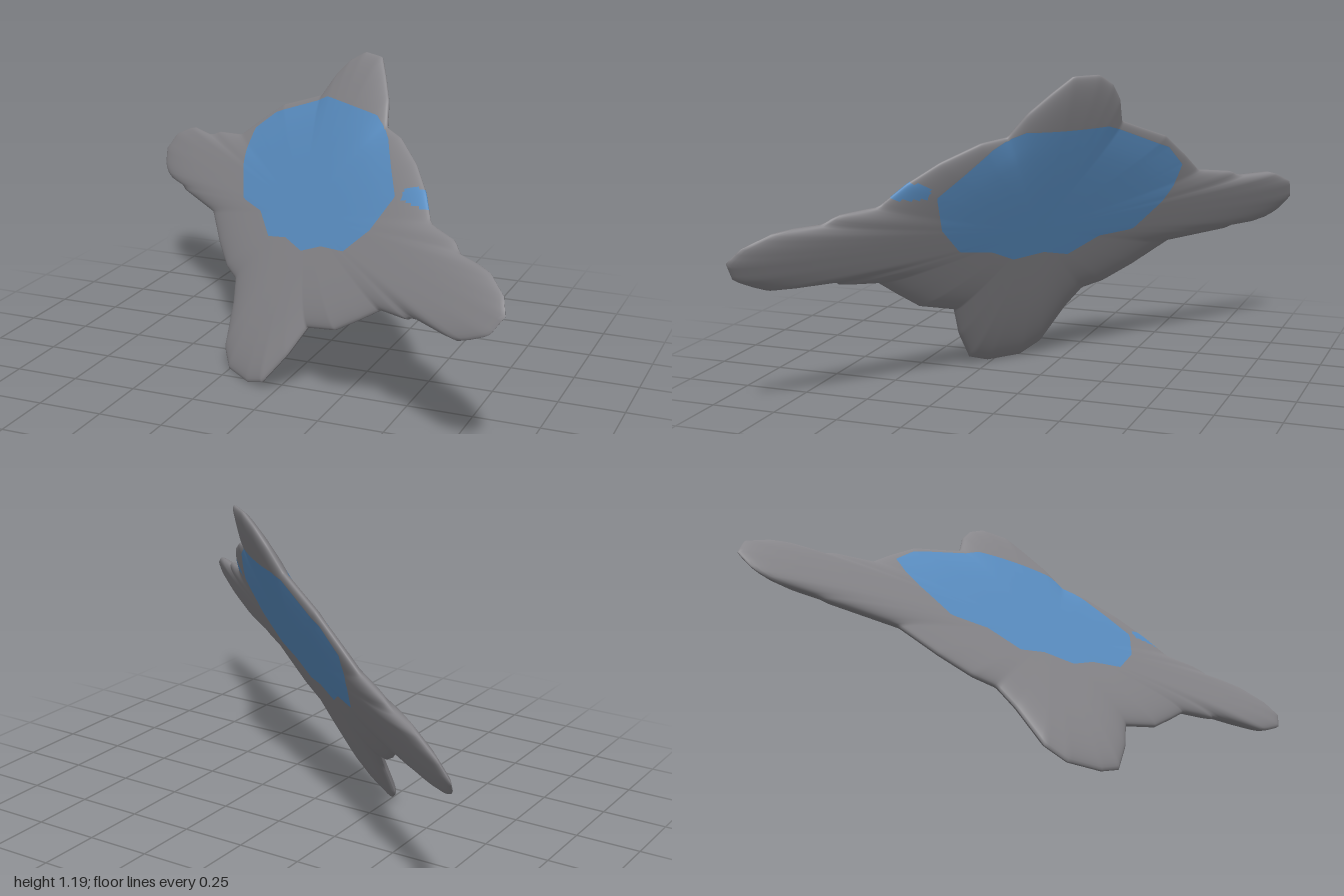
import * as THREE from 'three';

// Outlines as x, y pairs, counter-clockwise; depth follows from the tilted plane
const OUTLINE = [
  1, .6, .98, .65, .9, .7, .77, .705, .74, .735, .62, .75, .57, .83, .5, .9, .4, .96, .32, .975,
  .3, 1.06, .26, 1.13, .22, 1.19, .13, 1.19, .06, 1.15, 0, 1.09, -.06, 1, -.15, .965, -.27, .92,
  -.4, .83, -.5, .755, -.65, .73, -.7, .705, -.84, .705, -.95, .65, -1, .58, -.98, .52, -.93, .485,
  -.83, .485, -.8, .47, -.57, .45, -.48, .36, -.4, .3, -.33, .28, -.31, .2, -.3, .05, -.25, 0,
  -.13, 0, -.05, .03, .05, .15, .13, .27, .27, .31, .38, .38, .47, .44, .6, .455, .62, .47,
  .82, .47, .88, .495, .95, .53,
];
const PANEL = [
  .46, .78, .36, .94, .28, 1, 0, 1, -.1, .96, -.3, .88, -.4, .8, -.41, .72, -.4, .66, -.35, .55,
  -.23, .54, -.15, .475, -.05, .5, .05, .485, .15, .53, .27, .55, .38, .65,
];
const CX = 0.03, CY = 0.6;            // hub from which the rings spread
const SLOPE_X = 0.775, SLOPE_Y = -0.63; // tilt of the slab
const HALF_THICKNESS = 0.038;
const SIDES = 360, INNER = 8, OUTER = 16;

// Distance from the hub to an outline in a given direction
function reach(points, angle) {
  const dx = Math.cos(angle), dy = Math.sin(angle);
  let best = 0;
  for (let i = 0; i < points.length; i += 2) {
    const j = (i + 2) % points.length;
    const ax = points[i] - CX, ay = points[i + 1] - CY;
    const ex = points[j] - CX - ax, ey = points[j + 1] - CY - ay;
    const det = dx * ey - dy * ex;
    if (Math.abs(det) < 1e-9) continue;
    const s = (ax * dy - ay * dx) / det;
    const r = (ax * ey - ay * ex) / det;
    if (s >= -1e-6 && s <= 1 + 1e-6 && r > best) best = r;
  }
  return best;
}

export function createModel() {
  const group = new THREE.Group();
  const grey = new THREE.MeshStandardMaterial({ color: 0x87868a });
  grey.name = 'grey';
  const blue = new THREE.MeshStandardMaterial({ color: 0x5a8ec2 });
  blue.name = 'blue';

  const normal = new THREE.Vector3(-SLOPE_X, -SLOPE_Y, 1).normalize();
  const positions = [], bodyIndex = [], panelIndex = [];
  const rings = INNER + OUTER;

  // Domed front and back faces as rings around the hub
  for (const side of [1, -1]) {
    const base = positions.length / 3;
    const flat = [];
    for (let k = 0; k <= rings; k++) {
      for (let a = 0; a < SIDES; a++) {
        const angle = (a / SIDES) * Math.PI * 2;
        const edge = reach(OUTLINE, angle);
        const inner = Math.min(reach(PANEL, angle), edge * 0.98);
        const u = (k - INNER) / OUTER;
        const r = k <= INNER ? inner * k / INNER : inner + (edge - inner) * Math.sin(u * Math.PI / 2);
        const t = Math.min(r / edge, 1);
        const h = side * HALF_THICKNESS * Math.sqrt(1 - t ** 4);
        const x = CX + r * Math.cos(angle), y = CY + r * Math.sin(angle);
        const z = SLOPE_X * x + SLOPE_Y * (y - 0.595);
        flat.push([x, y]);
        positions.push(x + normal.x * h, y + normal.y * h, z + normal.z * h);
      }
    }
    for (let k = 0; k < rings; k++) {
      for (let a = 0; a < SIDES; a++) {
        const b = (a + 1) % SIDES;
        const p = k * SIDES + a, q = p + SIDES, s = (k + 1) * SIDES + b, o = k * SIDES + b;
        const mx = (flat[p][0] + flat[s][0]) / 2, my = (flat[p][1] + flat[s][1]) / 2;
        // Small blue spot near the left shoulder
        const spot = mx > 0.49 && my > 0.78 && my < 0.835 - Math.max(0, 0.53 - mx) * 0.5;
        const list = k < INNER || spot ? panelIndex : bodyIndex;
        const quad = side > 0 ? [p, q, s, p, s, o] : [p, s, q, p, o, s];
        for (const i of quad) list.push(base + i);
      }
    }
  }

  // Shared vertices and normals keep the colour border seamless
  const whole = new THREE.BufferGeometry();
  whole.setAttribute('position', new THREE.Float32BufferAttribute(positions, 3));
  whole.setIndex([...bodyIndex, ...panelIndex]);
  whole.computeVertexNormals();

  const addPart = (name, index, material) => {
    const geometry = new THREE.BufferGeometry();
    geometry.setAttribute('position', whole.getAttribute('position'));
    geometry.setAttribute('normal', whole.getAttribute('normal'));
    geometry.setIndex(index);
    const mesh = new THREE.Mesh(geometry, material);
    mesh.name = name;
    group.add(mesh);
  };
  addPart('fourLobedBody', bodyIndex, grey);
  addPart('centrePanel', panelIndex, blue);
  return group;
}
